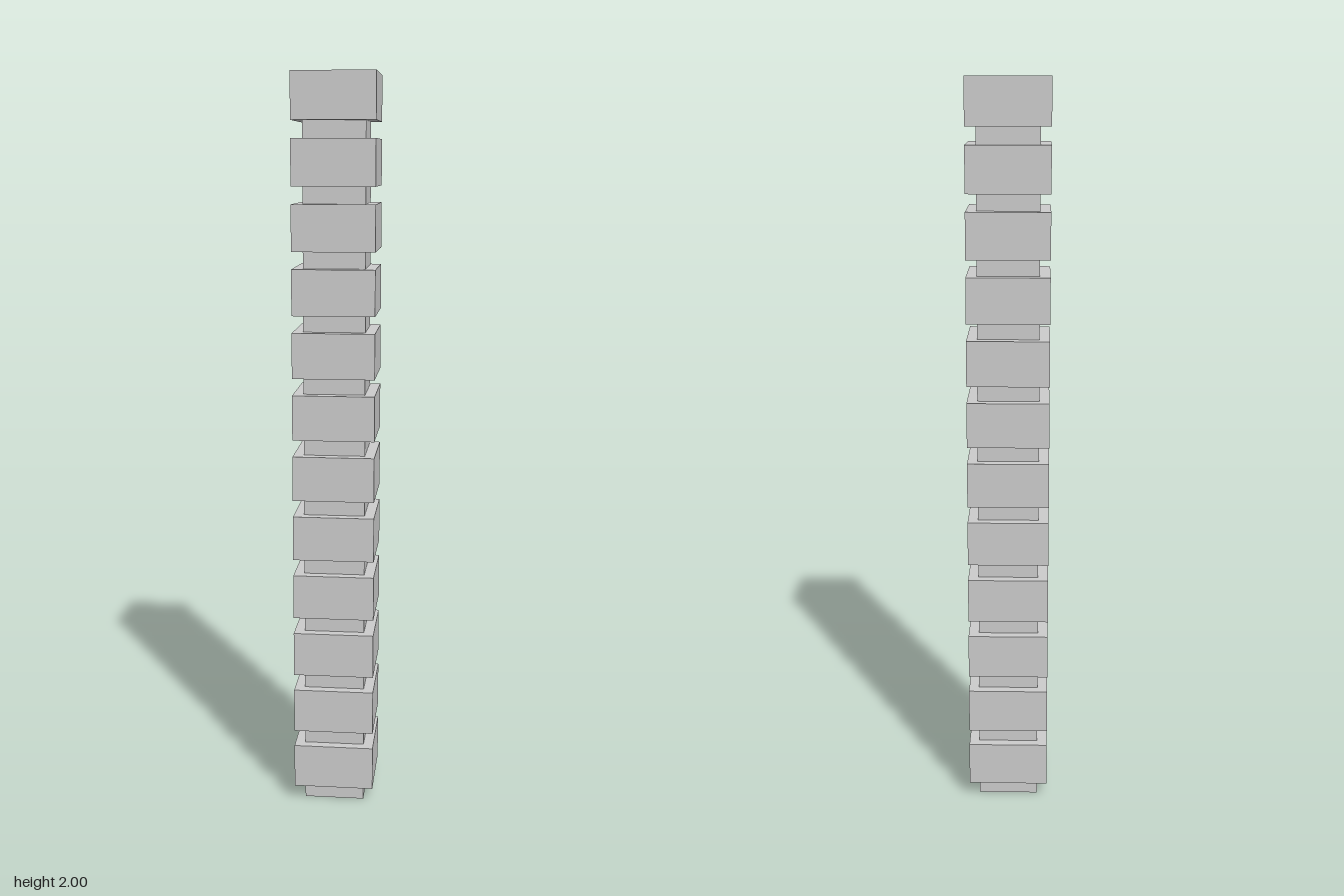
import * as THREE from 'three';

const COUNT = 12;            // stacked segments
const PITCH = 2 / COUNT;     // height of neck plus block
const NECK_H = 0.045, NECK_W = 0.165;
const BLOCK_H = PITCH - NECK_H, BLOCK_W = 0.22;

export function createModel() {
  const group = new THREE.Group();
  group.name = 'segmentedColumn';
  const material = new THREE.MeshStandardMaterial({ color: 0xcccccc, flatShading: true });
  const neckGeometry = new THREE.BoxGeometry(NECK_W, NECK_H, NECK_W);
  const blockGeometry = new THREE.BoxGeometry(BLOCK_W, BLOCK_H, BLOCK_W);

  const add = (parent, name, geometry, y) => {
    const mesh = new THREE.Mesh(geometry, material);
    mesh.name = name;
    mesh.position.y = y;
    parent.add(mesh);
  };

  // Each segment is a narrow square neck carrying a wider square block
  for (let i = 0; i < COUNT; i++) {
    const segment = new THREE.Group();
    segment.name = `segment${i + 1}`;
    segment.position.y = i * PITCH;
    add(segment, 'neck', neckGeometry, NECK_H / 2);
    add(segment, 'block', blockGeometry, NECK_H + BLOCK_H / 2);
    group.add(segment);
  }
  return group;
}
